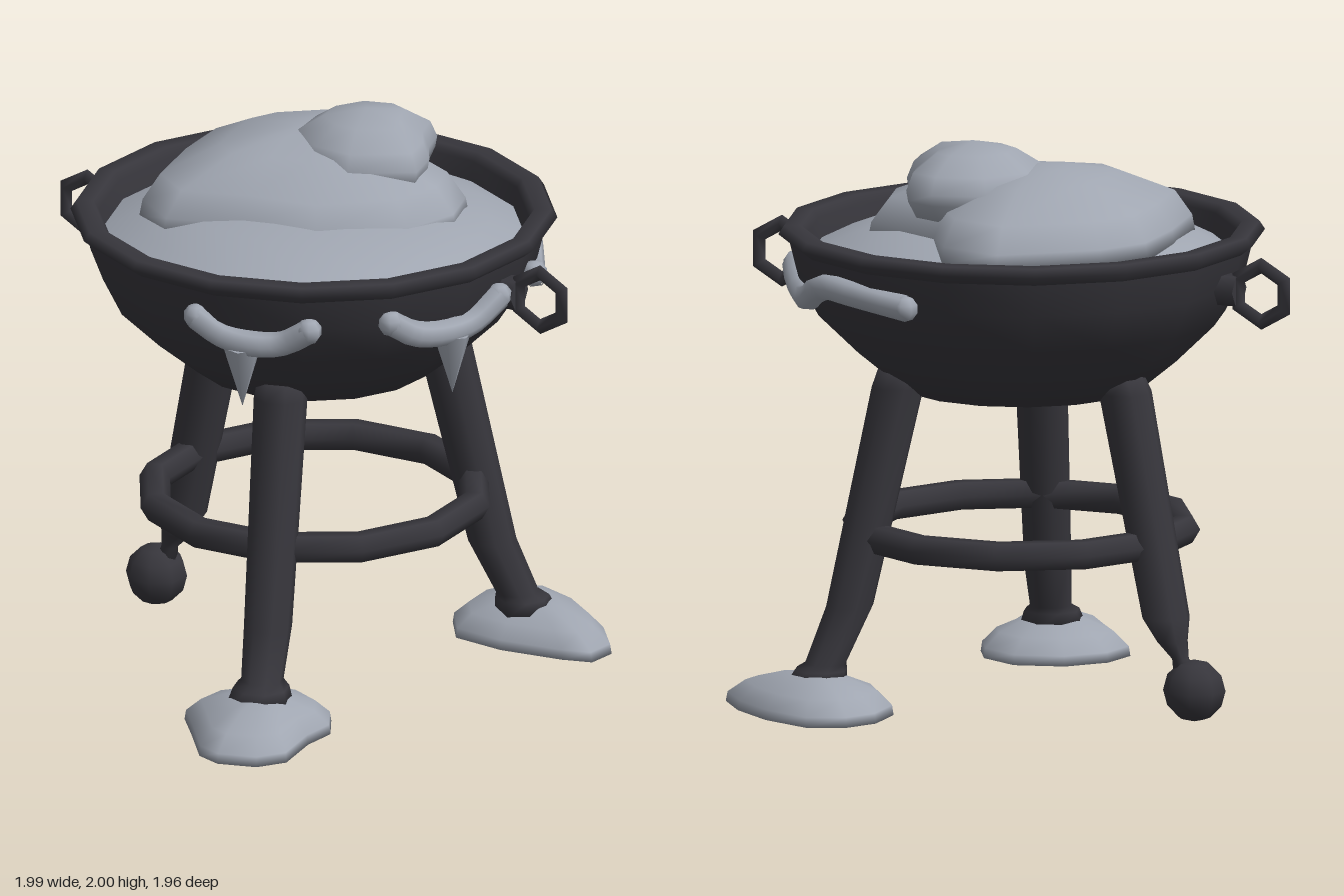
import * as THREE from 'three';

const iron = new THREE.MeshStandardMaterial({ color: 0x37363c });
iron.name = 'dark iron';
const snow = new THREE.MeshStandardMaterial({ color: 0xa0a6b1 });
snow.name = 'grey snow';

const CX = -0.02, CZ = -0.15; // axis of the bowl

// Closed skin over rings of equal length; each ring runs clockwise seen from above, bottom ring first
function skin(rings, bottom, top) {
  const n = rings[0].length, pos = [...rings.flat(2), ...bottom, ...top], idx = [];
  const lo = rings.length * n, hi = lo + 1, last = lo - n;
  for (let i = 0; i < n; i++) {
    const k = (i + 1) % n;
    for (let j = 0; j < rings.length - 1; j++) {
      const a = j * n + k, b = j * n + i, c = b + n, d = a + n;
      idx.push(a, b, c, a, c, d);
    }
    idx.push(last + k, last + i, hi, i, k, lo);
  }
  const g = new THREE.BufferGeometry();
  g.setAttribute('position', new THREE.Float32BufferAttribute(pos, 3));
  g.setIndex(idx);
  g.computeVertexNormals();
  return g;
}

// Snow heap: a ground outline shrunk towards [cx, cz] at each [scale, y] layer
function heap(outline, cx, cz, layers, topY) {
  const rings = layers.map(([s, y]) =>
    outline.map(([x, z]) => [cx + (x - cx) * s, y, cz + (z - cz) * s]));
  return skin(rings, [cx, layers[0][1], cz], [cx, topY, cz]);
}

// Leg: eight-sided column through [x, y, z, radius] stations from bottom to top
function column(stations) {
  const rings = stations.map(([x, y, z, r]) => Array.from({ length: 8 }, (_, i) => {
    const a = -(i + 0.5) * Math.PI / 4;
    return [x + r * Math.sin(a), y, z + r * Math.cos(a)];
  }));
  return skin(rings, stations[0].slice(0, 3), stations.at(-1).slice(0, 3));
}

// Point around the bowl; 0 degrees faces the front, 90 faces +x
function around(deg, r, y) {
  const a = THREE.MathUtils.degToRad(deg);
  return new THREE.Vector3(CX + r * Math.sin(a), y, CZ + r * Math.cos(a));
}

export function createModel() {
  const model = new THREE.Group();
  const add = (name, geo, mat, x = 0, y = 0, z = 0) => {
    const m = new THREE.Mesh(geo, mat);
    m.name = name;
    m.position.set(x, y, z);
    model.add(m);
    return m;
  };

  // Bowl and rim
  const lathe = pts => new THREE.LatheGeometry(
    pts.map(p => new THREE.Vector2(...p)), 16, Math.PI / 16);
  add('bowl', lathe([[0, 1.09], [0.43, 1.11], [0.57, 1.225], [0.71, 1.36], [0.78, 1.5], [0.81, 1.62]]),
    iron, CX, 0, CZ);
  add('rim', lathe([[0.8, 1.61], [0.85, 1.65], [0.83, 1.68], [0.77, 1.68], [0.75, 1.65], [0.73, 1.54]]),
    iron, CX, 0, CZ);

  // Snow filling the bowl
  add('snowFill', lathe([[0.76, 1.57], [0.62, 1.64], [0.45, 1.7], [0.2, 1.73], [0, 1.74]]),
    snow, CX, 0, CZ);

  // Large and small heaps on top
  add('snowHeap', heap([[-0.03, -0.85], [0.18, -0.72], [0.24, -0.55], [0.5, -0.3], [0.5, -0.12],
    [0.38, 0.06], [0.08, 0.2], [-0.2, 0.16], [-0.48, 0.17], [-0.61, 0], [-0.58, -0.3],
    [-0.52, -0.55], [-0.38, -0.7]], -0.1, -0.28,
  [[1, 1.64], [0.98, 1.7], [0.87, 1.79], [0.5, 1.88], [0.2, 1.91]], 1.92), snow);
  add('snowLump', heap([[-0.14, -0.24], [-0.1, -0.43], [0.05, -0.56], [0.24, -0.56], [0.34, -0.48],
    [0.34, -0.36], [0.37, -0.25], [0.36, -0.11], [0.13, -0.04], [-0.02, -0.1]], 0.13, -0.3,
  [[0.85, 1.75], [0.97, 1.81], [1, 1.85], [0.9, 1.91], [0.55, 1.97]], 2), snow);

  // Legs, with flared ankles where they stand in snow
  add('frontLeg', column([[-0.02, 0.1, 0.62, 0.12], [-0.02, 0.16, 0.6, 0.1], [-0.02, 0.18, 0.58, 0.075],
    [-0.02, 0.35, 0.5, 0.085], [-0.02, 1.14, 0.32, 0.095], [-0.02, 1.2, 0.31, 0.085]]), iron);
  add('leftLeg', column([[0.65, 0.1, -0.52, 0.11], [0.635, 0.15, -0.52, 0.095], [0.62, 0.17, -0.51, 0.075],
    [0.54, 0.37, -0.47, 0.085], [0.38, 1.14, -0.4, 0.095], [0.37, 1.2, -0.39, 0.085]]), iron);
  add('rightLeg', column([[-0.65, 0.16, -0.51, 0.045], [-0.63, 0.22, -0.51, 0.03], [-0.6, 0.28, -0.5, 0.055],
    [-0.575, 0.36, -0.48, 0.085], [-0.42, 1.14, -0.4, 0.095], [-0.4, 1.2, -0.39, 0.085]]), iron);
  add('ballFoot', new THREE.SphereGeometry(0.11, 8, 6), iron, -0.68, 0.11, -0.52);

  // Snow piles around two feet
  const pile = [[1, 0.005], [0.98, 0.04], [0.78, 0.09], [0.4, 0.13]];
  add('frontSnowPile', heap([[-0.1, 0.36], [0.08, 0.36], [0.2, 0.47], [0.23, 0.6], [0.18, 0.72],
    [0.15, 0.91], [0.06, 0.98], [-0.08, 0.98], [-0.16, 0.92], [-0.24, 0.72], [-0.3, 0.58],
    [-0.24, 0.45]], -0.02, 0.64, pile, 0.145), snow);
  add('leftSnowPile', heap([[0.5, -0.83], [0.64, -0.85], [0.8, -0.73], [0.92, -0.57], [0.985, -0.41],
    [0.94, -0.31], [0.83, -0.31], [0.6, -0.35], [0.42, -0.43], [0.37, -0.58], [0.41, -0.74]],
  0.65, -0.55, pile, 0.145), snow);

  // Brace ring joining the legs
  add('braceRing', new THREE.TorusGeometry(0.575, 0.055, 6, 12).rotateX(Math.PI / 2), iron, CX, 0.61, CZ - 0.01);

  // Ring handles on lugs, at opposite sides
  for (const [side, deg] of [['left', 73.3], ['right', 253.3]]) {
    const turn = THREE.MathUtils.degToRad(deg - 90);
    const ring = add(side + 'Handle', new THREE.TorusGeometry(0.1, 0.028, 4, 6).rotateZ(Math.PI / 6), iron);
    ring.position.copy(around(deg, 0.92, 1.505));
    ring.rotation.y = turn;
    const lug = add(side + 'HandleLug', new THREE.CylinderGeometry(0.06, 0.06, 0.07, 6), iron);
    lug.position.copy(around(deg, 0.8, 1.51));
    lug.rotation.set(0, turn, Math.PI / 2, 'YXZ');
  }

  // Snow drapes hanging on the bowl, as [degrees, radius, y]
  const drape = (name, pts) => {
    const path = new THREE.CatmullRomCurve3(pts.map(p => around(...p)));
    add(name, new THREE.TubeGeometry(path, 12, 0.047, 7), snow);
    for (const t of [0, 1]) {
      add(name + 'End', new THREE.SphereGeometry(0.047, 7, 5), snow).position.copy(path.getPoint(t));
    }
  };
  drape('frontDrape', [[-17, 0.79, 1.52], [-10, 0.77, 1.46], [-2, 0.77, 1.44], [6, 0.77, 1.45], [13, 0.8, 1.51]]);
  drape('leftDrape', [[34, 0.79, 1.52], [41, 0.77, 1.46], [50, 0.77, 1.44], [60, 0.77, 1.45], [68, 0.8, 1.52]]);
  drape('sideDrape', [[88, 0.8, 1.51], [95, 0.78, 1.47], [105, 0.76, 1.44], [116, 0.77, 1.47],
    [127, 0.79, 1.53], [142, 0.79, 1.53], [157, 0.79, 1.51]]);

  // Icicles
  for (const [name, deg] of [['frontIcicle', -5], ['leftIcicle', 54]]) {
    add(name, new THREE.ConeGeometry(0.068, 0.22, 6).rotateX(Math.PI), snow)
      .position.copy(around(deg, 0.755, 1.31));
  }
  return model;
}
